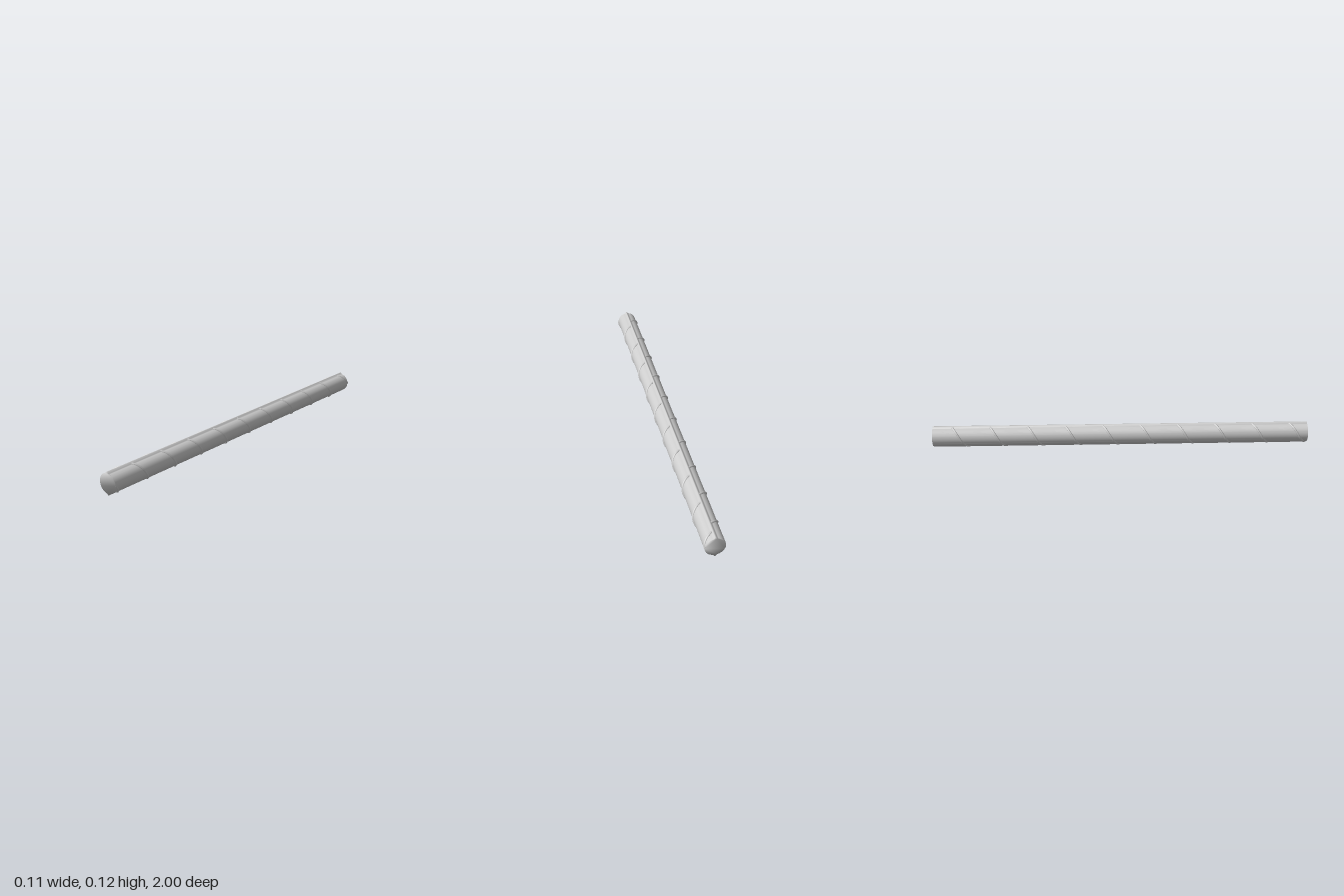
import * as THREE from 'three';
import { mergeVertices } from 'three/addons/utils/BufferGeometryUtils.js';

const CORE = 0.051, OUTER = 0.059, HALF_LENGTH = 1, PITCH = 0.2, SLANT = 0.1;
const material = new THREE.MeshStandardMaterial({ color: 0xcccccc, side: THREE.DoubleSide });

// Round section with a narrow ridge at the top and at the bottom
function barSection() {
  const points = [];
  const base = 0.17, steps = 24;
  for (const start of [-Math.PI / 2, Math.PI / 2]) {
    const polar = (r, a) => points.push(new THREE.Vector2(r * Math.cos(a), r * Math.sin(a)));
    polar(OUTER, start + 0.04);
    for (let i = 0; i <= steps; i++) {
      polar(CORE, start + base + (Math.PI - 2 * base) * i / steps);
    }
    polar(OUTER, start + Math.PI - 0.04);
  }
  return new THREE.Shape(points);
}

// Bar with normals blended over the end edges
function barGeometry() {
  let geometry = new THREE.ExtrudeGeometry(barSection(), { depth: 2 * HALF_LENGTH, bevelEnabled: false });
  geometry.deleteAttribute('uv');
  geometry.deleteAttribute('normal');
  geometry = mergeVertices(geometry, 1e-5);
  geometry.computeVertexNormals();
  return geometry.translate(0, 0, -HALF_LENGTH);
}

// Slanted half-turn rib on one side, cut off flush with the bar ends
class RibCurve extends THREE.Curve {
  constructor(side, centre, from, to) {
    super();
    Object.assign(this, { side, centre, from, to });
  }
  getPoint(u, target = new THREE.Vector3()) {
    const t = this.from + (this.to - this.from) * u;
    const a = Math.PI * t;
    return target.set(
      this.side * 0.0505 * Math.sin(a),
      0.0505 * Math.cos(a),
      this.centre + this.side * SLANT * (0.5 - t)
    );
  }
}

function makeRib(side, centre) {
  // Range of the half turn that lies between the bar ends
  const inside = [];
  for (let t = 0.03; t <= 0.971; t += 0.01) {
    if (Math.abs(centre + side * SLANT * (0.5 - t)) <= HALF_LENGTH) inside.push(t);
  }
  const curve = new RibCurve(side, centre, inside[0], inside[inside.length - 1]);
  const geometry = new THREE.TubeGeometry(curve, 24, 0.006, 8);
  const position = geometry.attributes.position;
  for (let i = 0; i < position.count; i++) {
    position.setZ(i, THREE.MathUtils.clamp(position.getZ(i), -HALF_LENGTH, HALF_LENGTH));
  }
  return new THREE.Mesh(geometry, material);
}

export function createModel() {
  const model = new THREE.Group();
  model.name = 'ribbedSteelBar';

  const bar = new THREE.Mesh(barGeometry(), material);
  bar.name = 'barWithLengthwiseRidges';
  model.add(bar);

  // Two rows of ribs, offset by a quarter pitch
  for (const [side, name, first, count] of [[1, 'leftRib', -1, 11], [-1, 'rightRib', -0.85, 10]]) {
    for (let i = 0; i < count; i++) {
      const rib = makeRib(side, first + i * PITCH);
      rib.name = name + (i + 1);
      model.add(rib);
    }
  }

  model.children.forEach((part) => { part.position.y = OUTER; });
  return model;
}
